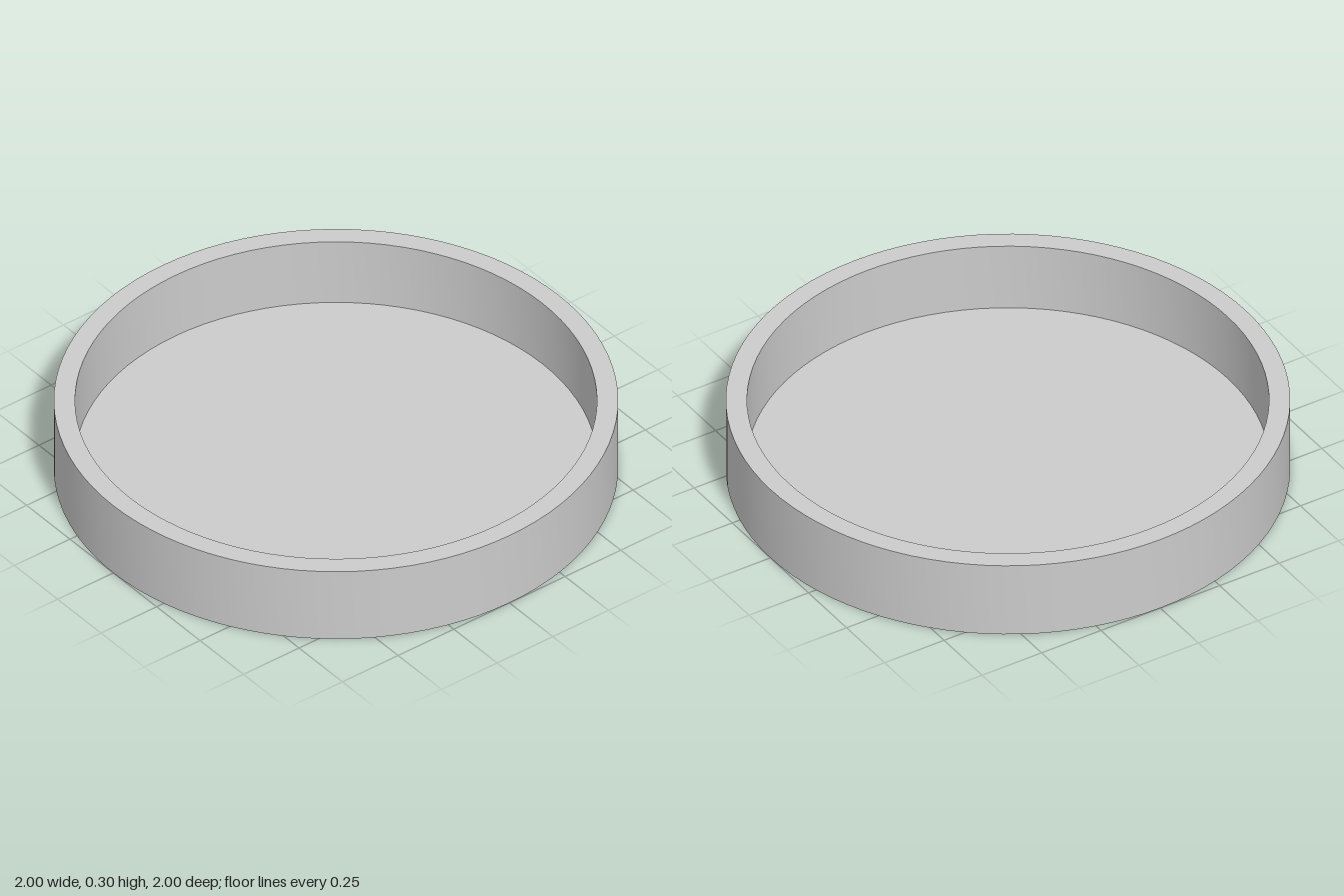
import * as THREE from 'three';
import { toCreasedNormals } from 'three/addons/utils/BufferGeometryUtils.js';

const RADIUS = 1;
const INNER_RADIUS = 0.925;
const HEIGHT = 0.3;
const FLOOR = 0.03;

export function createModel() {
  const model = new THREE.Group();
  model.name = 'roundTray';

  // Cross-section: underside, outer wall, flat rim, inner wall, floor
  const profile = [
    [0, 0],
    [RADIUS, 0],
    [RADIUS, HEIGHT],
    [INNER_RADIUS, HEIGHT],
    [INNER_RADIUS, FLOOR],
    [0, FLOOR],
  ].map(([r, y]) => new THREE.Vector2(r, y));

  // Smooth round walls with sharp rim and base edges
  const geometry = toCreasedNormals(new THREE.LatheGeometry(profile, 96), Math.PI / 6);
  const tray = new THREE.Mesh(geometry, new THREE.MeshStandardMaterial({ color: 0xcccccc }));
  tray.name = 'trayBody';
  model.add(tray);

  return model;
}
